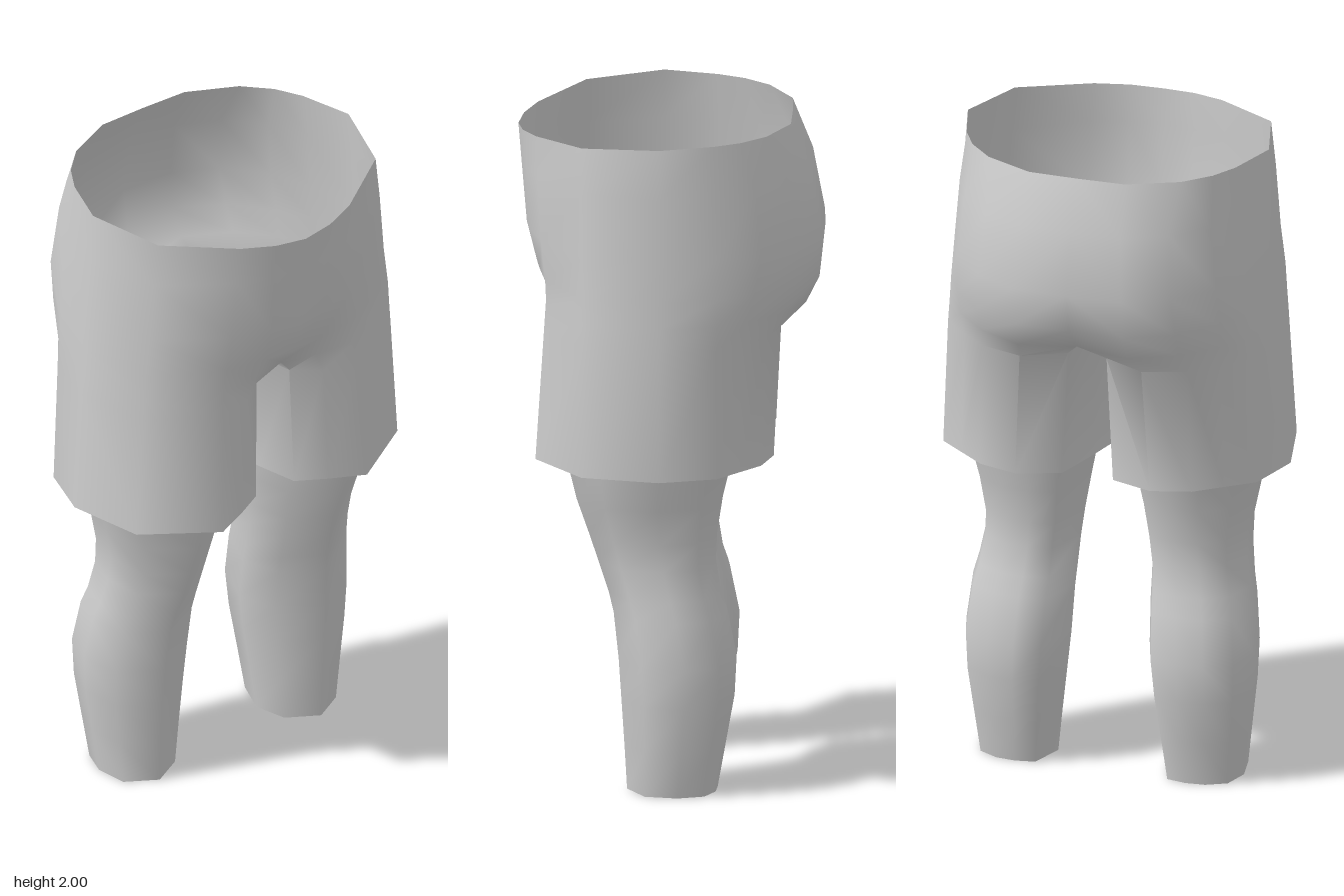
import * as THREE from 'three';
import { toCreasedNormals } from 'three/addons/utils/BufferGeometryUtils.js';

const CREASE = 1.15;

// Triangles between successive rings (top to bottom, counterclockwise from above)
function skin(rings, closed, out = []) {
  for (let r = 0; r < rings.length - 1; r++) {
    const top = rings[r], low = rings[r + 1];
    const n = top.length, count = closed ? n : n - 1;
    for (let i = 0; i < count; i++) {
      const j = (i + 1) % n;
      out.push([low[i], low[j], top[j]], [low[i], top[j], top[i]]);
    }
  }
  return out;
}

// The same triangles on the other side of x = 0
const mirror = (tris) => tris.map(([a, b, c]) => [a, c, b].map(([x, y, z]) => [-x, y, z]));

function toGeometry(tris) {
  const g = new THREE.BufferGeometry();
  const solid = tris.filter(([a, b, c]) => a !== b && b !== c && a !== c);
  g.setAttribute('position', new THREE.Float32BufferAttribute(solid.flat(2), 3));
  g.computeVertexNormals();
  return toCreasedNormals(g, CREASE);
}

// A ring at height y from [x, z] pairs; a third number overrides the height
const ring = (y, pts) => pts.map(([x, z, h]) => [x, h ?? y, z]);

// Fan from a ring to its middle, facing down
function cap(loop, centre) {
  return skin([loop, loop.map(() => centre)], true);
}

export function createModel() {
  const model = new THREE.Group();
  const grey = new THREE.MeshStandardMaterial({ color: 0xcccccc, side: THREE.DoubleSide });
  grey.name = 'plain grey';

  const add = (name, tris) => {
    const mesh = new THREE.Mesh(toGeometry(tris), grey);
    mesh.name = name;
    model.add(mesh);
  };

  // Pelvis: half outlines from front centre round the hip to back centre
  const pelvis = [
    ring(2, [[0, .455, 1.96], [.1, .44, 1.965], [.2, .4, 1.972], [.4, .26, 1.988], [.47, .03],
      [.42, -.13], [.375, -.21], [.3, -.285], [.15, -.355], [0, -.358]]),
    ring(1.85, [[0, .446], [.1, .43], [.21, .395], [.415, .26], [.482, .03],
      [.44, -.135], [.385, -.255], [.285, -.355], [.155, -.415], [0, -.42]]),
    ring(1.66, [[0, .43], [.1, .42], [.22, .385], [.43, .26], [.495, .03],
      [.455, -.14], [.405, -.27], [.3, -.385], [.17, -.45], [0, -.455]]),
    ring(1.54, [[0, .4], [.1, .39], [.23, .372], [.445, .26], [.503, .03],
      [.465, -.14], [.41, -.25], [.31, -.365], [.17, -.44], [0, -.435]]),
    ring(1.46, [[0, .33], [.11, .355], [.24, .368], [.45, .26], [.51, .03],
      [.47, -.14], [.405, -.23], [.31, -.33], [.17, -.4], [0, -.36]]),
  ];
  // Trouser legs: the last outline closed along the crotch, then down to the hem
  const crotch = [[0, 1.44, -.15], [0, 1.43, .03], [0, 1.44, .2]];
  const hem = ring(1, [[.07, .3], [.16, .35], [.265, .4], [.48, .26], [.538, .03],
    [.49, -.14], [.41, -.205], [.33, -.27], [.21, -.305], [.08, -.26],
    [.035, -.1], [.004, .03], [.035, .17]]);
  const thigh = ring(1.39, [[.06, .29], [.14, .352], [.245, .375], [.455, .26], [.515, .03],
    [.475, -.14], [.4, -.215], [.32, -.285], [.19, -.325], [.06, -.26],
    [.03, -.1], [.01, .03], [.03, .17]]);
  const shorts = skin(pelvis, false);
  skin([[...pelvis[4], ...crotch], thigh, hem], true, shorts);
  add('shorts', [...shorts, ...mirror(shorts)]);

  // Flat underside of each hem
  const under = cap(hem, [.27, 1, .04]);
  add('leftHem', under);
  add('rightHem', mirror(under));

  // Lower legs: one outline fitted to the width and depth at each height
  const outline = [[.53, 1], [.92, .8], [1, .44], [.9, .14], [.65, .02],
    [.4, 0], [.15, .04], [0, .44], [.13, .8]];
  const sections = [ // y, inner x, outer x, back z, front z
    [1.004, .06, .455, -.185, .308],
    [.88, .085, .425, -.155, .278],
    [.77, .103, .405, -.138, .24],
    [.69, .112, .407, -.134, .213],
    [.6, .116, .422, -.148, .183],
    [.54, .118, .436, -.168, .168],
    [.4, .122, .45, -.196, .153],
    [.28, .135, .444, -.19, .145],
    [.14, .153, .427, -.165, .136],
    [0, .17, .41, -.14, .128],
  ];
  const legRings = sections.map(([y, x0, x1, z0, z1]) =>
    ring(y, outline.map(([u, v]) => [x0 + u * (x1 - x0), z0 + v * (z1 - z0)])));
  const leg = skin(legRings, true);
  add('leftLeg', leg);
  add('rightLeg', mirror(leg));

  return model;
}
